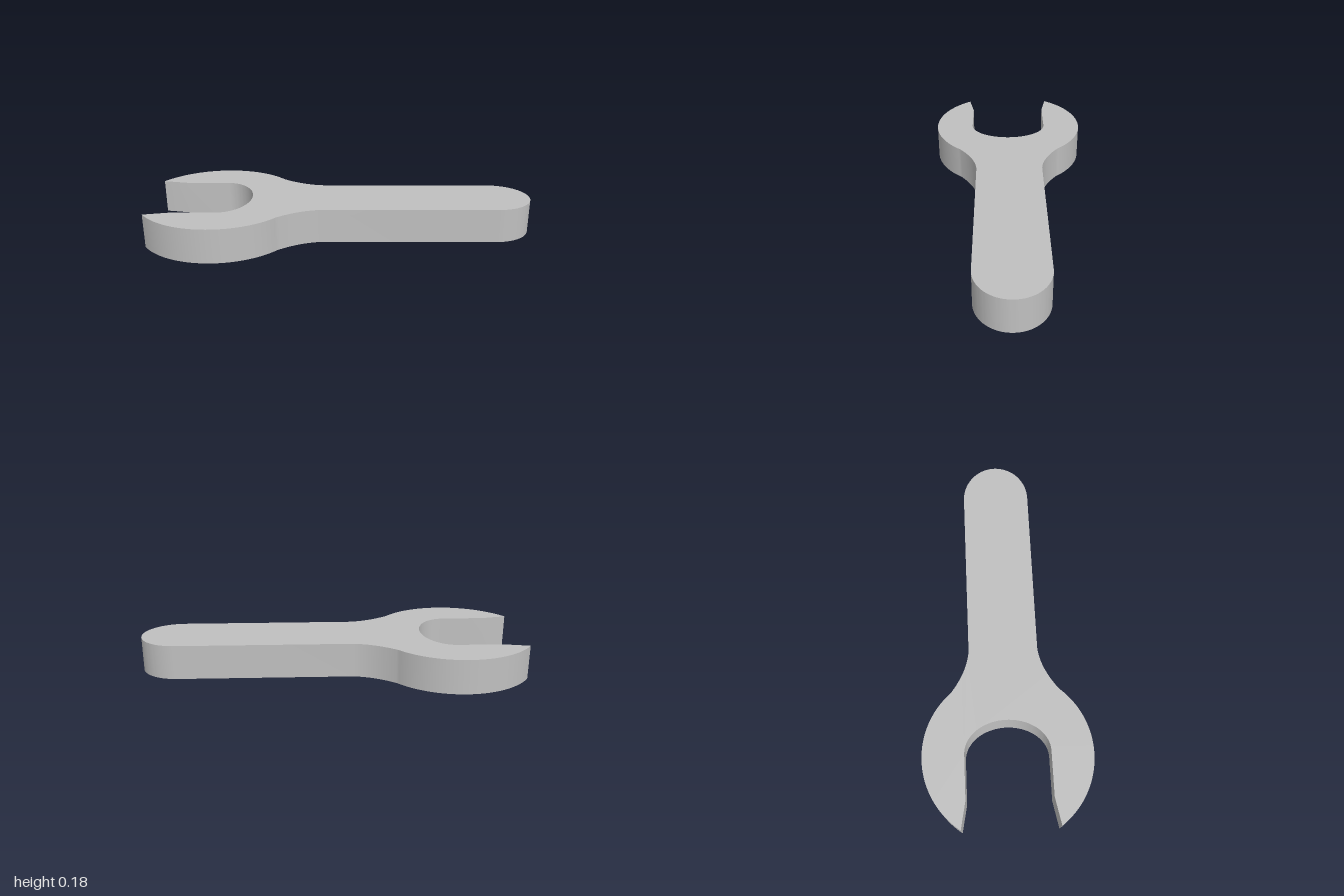
import * as THREE from 'three';
import { toCreasedNormals } from 'three/addons/utils/BufferGeometryUtils.js';

const THICKNESS = 0.18;
const HEAD_X = -0.65, HEAD_R = 0.427; // round jaw head
const TIP_Z = 0.242, JAW_Z = 0.216;   // opening at the tips and along the flats
const NECK_Z = 0.277, HANDLE_Z = 0.179;

function wrenchOutline() {
  const s = new THREE.Shape();
  const tip = Math.atan2(TIP_Z, -1 - HEAD_X);
  const neck = Math.asin(NECK_Z / HEAD_R);
  const neckX = HEAD_X + HEAD_R * Math.cos(neck);

  // Lower jaw, neck and handle
  s.moveTo(-1, -TIP_Z);
  s.absarc(HEAD_X, 0, HEAD_R, -tip, -neck, false);
  s.quadraticCurveTo(-0.21, -0.187, -0.1, -HANDLE_Z);
  s.lineTo(0.8, -HANDLE_Z);
  // Rounded handle end
  s.absellipse(0.8, 0, 0.2, HANDLE_Z, -Math.PI / 2, Math.PI / 2, false);
  // Upper side back to the tip
  s.lineTo(-0.1, HANDLE_Z);
  s.quadraticCurveTo(-0.21, 0.187, neckX, NECK_Z);
  s.absarc(HEAD_X, 0, HEAD_R, neck, tip, false);
  // Jaw opening: flared lips, flats and rounded throat
  s.lineTo(-1, TIP_Z);
  s.lineTo(-0.865, JAW_Z);
  s.lineTo(-0.64, JAW_Z);
  s.absellipse(-0.64, 0, 0.165, JAW_Z, Math.PI / 2, -Math.PI / 2, true);
  s.lineTo(-0.865, -JAW_Z);
  s.closePath();
  return s;
}

export function createModel() {
  const steel = new THREE.MeshStandardMaterial({ color: 0xc0c0c0 });
  steel.name = 'steel grey';

  const solid = new THREE.ExtrudeGeometry(wrenchOutline(), {
    depth: THICKNESS, bevelEnabled: false, curveSegments: 32,
  });
  solid.rotateX(-Math.PI / 2); // lay flat on the ground

  const wrench = new THREE.Mesh(toCreasedNormals(solid, Math.PI / 9), steel);
  wrench.name = 'wrenchBody';

  const group = new THREE.Group();
  group.name = 'openEndWrench';
  group.add(wrench);
  return group;
}
